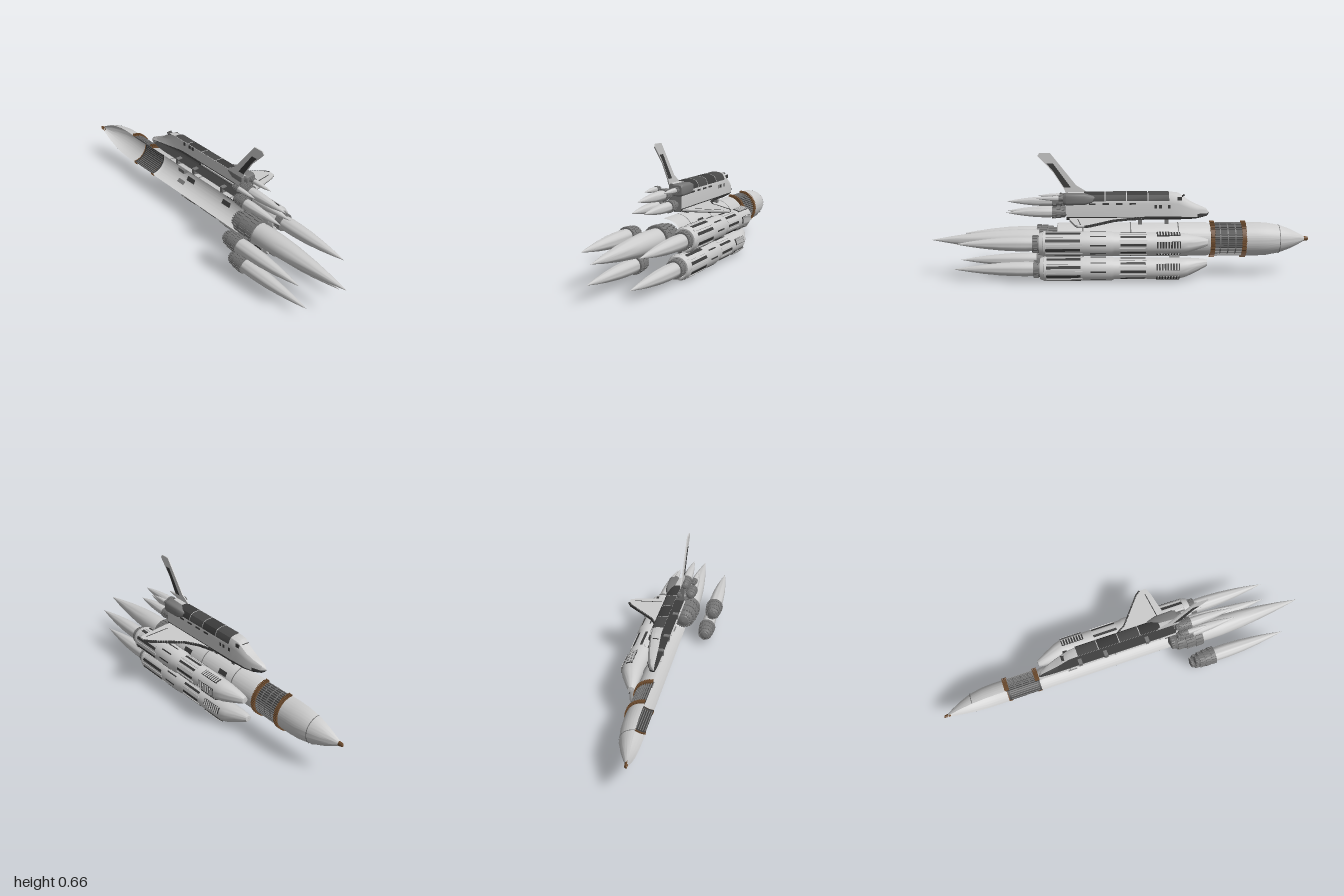
import * as THREE from 'three';
import { mergeGeometries, toCreasedNormals } from 'three/addons/utils/BufferGeometryUtils.js';

const C = -0.048; // x of the lengthwise axis; hulls are half shells on its +x side
const mat = (color) => new THREE.MeshStandardMaterial({ color, side: THREE.DoubleSide });

export function createModel() {
  const root = new THREE.Group();
  const light = mat(0xcccccc), dark = mat(0x3c3c3c), mid = mat(0x777777), bronze = mat(0x6e4c2e);

  function add(name, geo, m, parent = root, x = 0, y = 0, z = 0) {
    const mesh = new THREE.Mesh(geo, m);
    mesh.name = name;
    mesh.position.set(x, y, z);
    parent.add(mesh);
    return mesh;
  }
  function group(name, x, y, z = 0) {
    const g = new THREE.Group();
    g.name = name;
    g.position.set(x, y, z);
    root.add(g);
    return g;
  }
  // Lathe about z; profile points are [radius, z] with z rising
  function turned(pts, seg = 32, half = false) {
    const g = new THREE.LatheGeometry(pts.map((p) => new THREE.Vector2(...p)), seg, 0, half ? Math.PI : Math.PI * 2);
    return toCreasedNormals(g.rotateX(Math.PI / 2), 0.5);
  }
  // Skin over rows of points, each row counter-clockwise, z rising
  function loft(rows) {
    const n = rows[0].length, idx = [];
    for (let i = 0; i < rows.length - 1; i++)
      for (let j = 0; j < n - 1; j++) {
        const a = i * n + j;
        idx.push(a, a + 1, a + n, a + 1, a + n + 1, a + n);
      }
    const g = new THREE.BufferGeometry();
    g.setAttribute('position', new THREE.Float32BufferAttribute(rows.flat(2), 3));
    g.setIndex(idx);
    g.computeVertexNormals();
    return toCreasedNormals(g, 0.55);
  }
  const box = (w, h, d, x, y, z) => new THREE.BoxGeometry(w, h, d).translate(x, y, z);
  // Box set on a cylinder: angle from +x, radial thickness t, width w, length l
  const onRound = (a, r, t, w, l, z) => box(t, w, l, r, 0, z).rotateZ(a);
  const poly = (pts) => new THREE.Shape(pts.map((p) => new THREE.Vector2(...p)));

  // ---- Core stage: half shells ----
  const core = group('coreStage', C, 0.2);
  add('coreHull', turned([[0.082, -0.47], [0.09, -0.45], [0.09, 0.33], [0.086, 0.335]], 48, true), light, core);
  const seams = [-0.3, -0.05, 0.2].map((z) => turned([[0.091, z - 0.003], [0.091, z + 0.003]], 48, true));
  add('hullSeams', mergeGeometries(seams), mid, core);
  const hatches = [-0.22, 0.08].flatMap((z) => [-0.45, 0.5].map((a) => onRound(a, 0.0885, 0.006, 0.025, 0.06, z)));
  add('hullHatches', mergeGeometries(hatches), dark, core);

  // Interstage lattice between toothed rings
  add('interstage', turned([[0.083, -0.65], [0.083, -0.47]], 48, true), dark, core);
  const ribs = [], teeth = [], rings = [];
  for (let i = 0; i < 24; i++) ribs.push(onRound(((i + 0.5) / 24 - 0.5) * Math.PI, 0.086, 0.008, 0.004, 0.16, -0.56));
  for (const z of [-0.6, -0.56, -0.52]) ribs.push(turned([[0.088, z - 0.003], [0.088, z + 0.003]], 48, true));
  for (const z of [-0.645, -0.48]) {
    rings.push(turned([[0.082, z - 0.01], [0.094, z - 0.01], [0.094, z + 0.01], [0.082, z + 0.01]], 48, true));
    for (let i = 0; i < 36; i++) teeth.push(onRound(((i + 0.5) / 36 - 0.5) * Math.PI, 0.095, 0.006, 0.004, 0.024, z));
  }
  for (const g of [ribs, rings, teeth]) g.forEach((b, i) => { if (b.index) g[i] = b.toNonIndexed(); });
  add('interstageRibs', mergeGeometries(ribs), mid, core);
  add('interstageRings', mergeGeometries(rings), bronze, core);
  add('ringTeeth', mergeGeometries(teeth), bronze, core);

  // Nose fairing with tip
  add('fairing', turned([[0.01, -0.98], [0.027, -0.95], [0.052, -0.9], [0.074, -0.84], [0.087, -0.77],
    [0.09, -0.71], [0.09, -0.655]], 48, true), light, core);
  add('fairingTip', turned([[0.001, -1], [0.01, -0.995], [0.013, -0.975], [0.01, -0.965]], 24, true), bronze, core);
  add('fairingSeam', turned([[0.0765, -0.838], [0.0775, -0.834]], 48, true), mid, core);

  // ---- Engines: studded bell and exhaust plume, always whole ----
  function engine(name, x, y, zRim, R, L, zTip) {
    const g = group(name, x, y, zRim);
    const prof = [[0.001, -L], [0.45 * R, -0.95 * L], [0.72 * R, -0.8 * L], [0.88 * R, -0.55 * L], [0.95 * R, -0.25 * L], [R, 0], [0.84 * R, 0]];
    add('bell', turned(prof, 28), mid, g);
    const studs = [];
    for (let i = 1; i < 5; i++)
      for (let k = 0; k < 20; k++) {
        const [r0, z0] = prof[i], [r1, z1] = prof[i + 1];
        studs.push(onRound((k + (i % 2) / 2) * Math.PI / 10, (r0 + r1) / 2, R * 0.12, r0 * 0.22, (z1 - z0) * 0.8, (z0 + z1) / 2));
      }
    add('bellPlates', mergeGeometries(studs), mid, g);
    const T = zTip - zRim;
    add('plume', turned([[0.8, -0.03], [0.84, 0.08], [0.83, 0.2], [0.74, 0.4], [0.54, 0.62], [0.29, 0.82], [0.01, 1]]
      .map(([r, t]) => [r * R, t * T]), 28), light, g);
  }
  engine('coreEngine', C, 0.2, 0.43, 0.066, 0.18, 1);
  for (const s of [-1, 1]) {
    engine('upperBoosterEngine', C + s * 0.148, 0.207, 0.455, 0.045, 0.115, 0.85);
    engine('lowerBoosterEngine', C + s * 0.109, 0.066, 0.455, 0.045, 0.115, 0.87);
    engine('orbiterLowerEngine', C + s * 0.032, 0.35, 0.36, 0.03, 0.085, 0.6);
    engine('orbiterSmallEngine', C + s * 0.052, 0.427, 0.325, 0.015, 0.045, 0.44);
  }
  engine('orbiterTopEngine', C, 0.405, 0.36, 0.03, 0.085, 0.6);

  // ---- Strap-on boosters ----
  function booster(name, x, y) {
    const g = group(name, x, y);
    const out = Math.atan2(y - 0.2, x - C); // direction away from the core
    // stations: [z, radius, shift toward the core]
    const st = [[-0.45, 0.002, 0.03], [-0.448, 0.016, 0.03], [-0.43, 0.024, 0.027], [-0.39, 0.036, 0.018], [-0.34, 0.049, 0.006],
      [-0.3, 0.055, 0], [0.035, 0.056, 0], [0.05, 0.062, 0], [0.4, 0.062, 0], [0.42, 0.056, 0], [0.42, 0.049, 0], [0.36, 0.047, 0]];
    add('boosterHull', loft(st.map(([z, r, d]) => Array.from({ length: 33 }, (_, i) => {
      const a = i * Math.PI / 16;
      return [r * Math.cos(a) - d * Math.cos(out), r * Math.sin(a) - d * Math.sin(out), z];
    }))), light, g);
    const slots = [], frames = [];
    for (let k = 0; k < 8; k++) {
      const a = out + (k + 0.5) * Math.PI / 4;
      slots.push(onRound(a, 0.0613, 0.005, 0.015, 0.18, 0.3));
      slots.push(onRound(a + 0.39, 0.0613, 0.004, 0.007, 0.08, 0.12));
      slots.push(onRound(a + 0.39, 0.055, 0.005, 0.012, 0.13, -0.06));
      frames.push(onRound(a + 0.39, 0.061, 0.007, 0.012, 0.2, 0.3));
      frames.push(onRound(a, 0.055, 0.007, 0.01, 0.14, -0.06));
    }
    // ribbed grills on the forward section
    for (const a of [-1.2, 0, 1.2]) {
      slots.push(onRound(out + a, 0.0545, 0.006, 0.034, 0.12, -0.24));
      for (let i = 0; i < 8; i++) frames.push(onRound(out + a, 0.057, 0.008, 0.034, 0.006, -0.19 - i * 0.0145));
    }
    add('boosterSlots', mergeGeometries(slots), dark, g);
    add('boosterRibs', mergeGeometries(frames), light, g);
    add('rearRing', turned([[0.063, 0.385], [0.065, 0.388], [0.065, 0.398], [0.063, 0.401]]), light, g);
    // struts reaching back to the core
    for (const z of [-0.28, 0.28])
      add('boosterStrut', onRound(out + Math.PI, 0.067, 0.045, 0.022, 0.05, z), mid, g);
  }
  booster('upperBooster', C + 0.148, 0.207);
  booster('lowerBooster', C + 0.112, 0.068);

  // ---- Orbiter: half fuselage ----
  const orb = group('orbiter', C, 0);
  const stations = [[-0.465, 0.002, 0.342, 0.346], [-0.45, 0.022, 0.328, 0.366], [-0.4, 0.042, 0.318, 0.388], [-0.36, 0.052, 0.315, 0.408],
    [-0.3, 0.06, 0.315, 0.45], [-0.26, 0.064, 0.315, 0.455], [0.285, 0.068, 0.315, 0.455]];
  const section = ([z, w, b, t], pts) => pts.map(([u, v]) => [u * w, b + v * (t - b), z]);
  const upper = [[1, 0.12], [1, 0.6], [0.95, 0.78], [0.8, 0.92], [0.5, 0.985], [0, 1]];
  const belly = [[0, 0], [0.85, 0], [0.96, 0.04], [1, 0.12]];
  add('fuselage', loft(stations.map((s) => section(s, upper))), light, orb);
  add('bellyTiles', loft(stations.map((s) => section(s, belly))), dark, orb);
  const end = stations[6], outline = [...belly, ...upper.slice(1)];
  add('rearBulkhead', new THREE.ShapeGeometry(poly(section(end, outline).map((p) => [p[0], p[1]]))), mid, orb, 0, 0, 0.285);
  // nose tiles over the first stations
  add('noseTiles', loft(stations.slice(0, 3).map(([z, w, b, t]) => section([z - 0.002, w + 0.0015, b, t], [...belly, [1, 0.35]]))), dark, orb);
  // payload bay doors in panels
  for (let i = 0; i < 4; i++) {
    const z = -0.25 + i * 0.112;
    const door = [z, z + 0.108].map((q) => section([q, 0.069, 0.316, 0.457], [[0.99, 0.7], ...upper.slice(2)]));
    add('payloadDoor', loft(door), i % 2 ? dark : mat(0x4a4a4a), orb);
  }
  // cockpit windows, hatches and side slots
  const windshield = box(0.028, 0.018, 0.004, 0.022, 0, 0).rotateX(-0.95).translate(0, 0.436, -0.326);
  const marks = [windshield, box(0.006, 0.018, 0.022, 0.056, 0.425, -0.305)];
  for (const z of [-0.25, -0.205, -0.18]) marks.push(box(0.006, 0.018, 0.014, 0.063, 0.385, z));
  for (const z of [-0.06, 0.01, 0.08, 0.15]) marks.push(box(0.006, 0.008, 0.035, 0.066, 0.4, z));
  add('windowsAndHatches', mergeGeometries(marks), dark, orb);

  // engine pod beside the fin
  add('enginePod', loft([[0.12, 0.004], [0.15, 0.02], [0.19, 0.031], [0.285, 0.033], [0.3, 0.026], [0.3, 0.001]].map(([z, r]) =>
    Array.from({ length: 21 }, (_, i) => {
      const a = i * Math.PI / 10, f = (v) => Math.sign(v) * Math.sqrt(Math.abs(v));
      return [0.05 + r * f(Math.cos(a)), 0.424 + r * 0.95 * f(Math.sin(a)), z];
    }))), mid, orb);

  // Wing with dark underside and tiled leading edge
  const lead = [[0.06, -0.12], [0.085, -0.03], [0.125, 0.04], [0.27, 0.16], [0.286, 0.185]];
  const wing = poly([...lead, [0.286, 0.22], [0.25, 0.235], [0.11, 0.265], [0.06, 0.27]]);
  const slab = (d) => new THREE.ExtrudeGeometry(wing, { depth: d, bevelEnabled: false }).rotateX(Math.PI / 2);
  add('wing', slab(0.008), light, orb, 0, 0.327, 0);
  add('wingUnderside', slab(0.003), dark, orb, 0, 0.319, 0);
  const tiles = [];
  for (let i = 0; i < 4; i++) {
    const [x0, z0] = lead[i], [x1, z1] = lead[i + 1], len = Math.hypot(x1 - x0, z1 - z0), n = Math.ceil(len / 0.014);
    for (let k = 0; k < n; k++) {
      const t = (k + 0.5) / n;
      tiles.push(box(0.008, 0.012, len / n * 0.85, 0, 0, 0).rotateY(Math.atan2(x1 - x0, z1 - z0))
        .translate(x0 + (x1 - x0) * t, 0.3215, z0 + (z1 - z0) * t));
    }
  }
  add('wingLeadingEdge', mergeGeometries(tiles), dark, orb);
  add('elevonGap', box(0.15, 0.0015, 0.004, 0, 0, 0).rotateY(0.12).translate(0.185, 0.3275, 0.215), dark, orb);

  // Tail fin and rudder
  const plate = (pts, d) => new THREE.ExtrudeGeometry(poly(pts), { depth: d, bevelEnabled: false })
    .rotateY(-Math.PI / 2).translate(d / 2, 0, 0);
  add('tailFin', plate([[0.17, 0.45], [0.29, 0.45], [0.3, 0.475], [0.355, 0.56], [0.435, 0.645], [0.425, 0.66], [0.37, 0.66], [0.235, 0.49]], 0.006), light, orb, 0.002);
  add('rudder', plate([[0.262, 0.478], [0.298, 0.478], [0.352, 0.562], [0.388, 0.605], [0.355, 0.605]], 0.0075), dark, orb, 0.002);

  // Struts between orbiter and core
  for (const z of [-0.24, -0.1, 0.13])
    add('orbiterStrut', box(0.03, 0.035, 0.02, 0.016, 0.303, z), mid, orb);

  return root;
}
